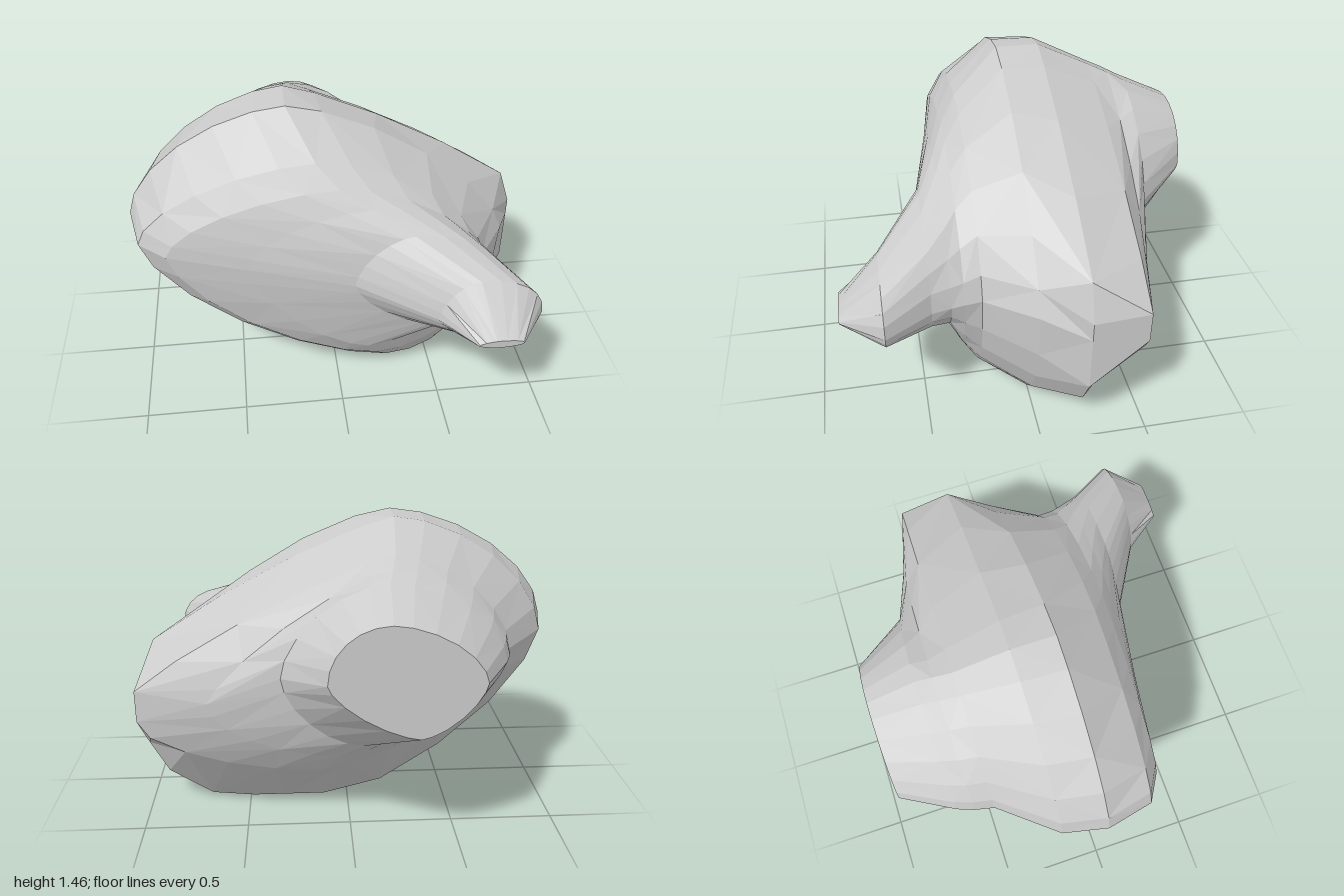
import * as THREE from 'three';

const STEPS = 6; // points per quarter of a cross-section
const SIDES = STEPS * 4;

// Cross-section at depth z through its four extreme points, joined by quarter superellipses.
// upper and lower set how full the right-hand quarters are: small is boxy, 2 is straight.
// The right side is cut flat at x = 1 and the base at y = 0.
function section(z, left, top, right, bottom, upper, lower) {
  const ring = [];
  const quarter = (from, to, cx, cy, power) => {
    for (let i = 0; i < STEPS; i++) {
      const a = (i / STEPS) * Math.PI / 2;
      const u = Math.cos(a) ** power, v = Math.sin(a) ** power;
      ring.push(new THREE.Vector3(
        Math.min(1, cx + (from[0] - cx) * u + (to[0] - cx) * v),
        Math.max(0, cy + (from[1] - cy) * u + (to[1] - cy) * v), z));
    }
  };
  quarter(right, top, top[0], right[1], upper);
  quarter(top, left, top[0], left[1], 1.2);
  quarter(left, bottom, bottom[0], left[1], 1.35);
  quarter(bottom, right, bottom[0], right[1], lower);
  return ring;
}

// Joins the rings from back to front and closes both ends.
function loft(rings) {
  const points = [];
  const middle = (ring) => ring.reduce((sum, p) => sum.add(p), new THREE.Vector3()).divideScalar(SIDES);
  const back = rings[0], front = rings[rings.length - 1];
  for (let j = 0; j < SIDES; j++) {
    const k = (j + 1) % SIDES;
    for (let i = 0; i < rings.length - 1; i++) {
      const a = rings[i], b = rings[i + 1];
      // alternate the diagonal for irregular facets
      if ((i + j) % 2) points.push(a[j], a[k], b[j], a[k], b[k], b[j]);
      else points.push(a[j], a[k], b[k], a[j], b[k], b[j]);
    }
    points.push(middle(back), back[k], back[j], middle(front), front[j], front[k]);
  }
  const geometry = new THREE.BufferGeometry().setFromPoints(points);
  geometry.computeVertexNormals();
  return geometry;
}

export function createModel() {
  const rings = [
    // flat back face and shoulder
    section(-0.88, [-0.555, 0.89], [-0.15, 1.15], [0.12, 0.89], [-0.28, 0.635], 1, 1.4),
    section(-0.64, [-0.69, 0.89], [-0.16, 1.26], [0.32, 0.83], [-0.05, 0.49], 1.2, 1.2),
    section(-0.56, [-0.72, 0.89], [-0.18, 1.3], [0.66, 0.68], [0.05, 0.4], 1.6, 1.1),
    // broad body
    section(-0.47, [-0.74, 0.89], [-0.2, 1.34], [1.08, 0.64], [0.15, 0.28], 1.7, 1.1),
    section(-0.21, [-0.95, 0.89], [-0.22, 1.46], [1.25, 0.6], [0.33, -0.1], 1.65, 1.33),
    section(0, [-1, 0.92], [-0.22, 1.46], [0.9, 0.67], [0.33, -0.1], 1.4, 0.9),
    section(0.23, [-0.95, 0.89], [-0.1, 1.28], [0.74, 0.67], [0.27, 0.03], 1.2, 0.95),
    section(0.31, [-0.82, 0.86], [0, 1.18], [0.75, 0.67], [0.2, 0.13], 1.2, 1.1),
    section(0.37, [-0.44, 0.8], [0.15, 1.1], [0.76, 0.67], [0.15, 0.24], 1.1, 1.3),
    // forward horn
    section(0.46, [0.06, 0.73], [0.335, 1], [0.78, 0.67], [0.45, 0.45], 0.9, 1),
    section(0.67, [0.42, 0.67], [0.6, 0.88], [0.91, 0.67], [0.66, 0.53], 0.9, 1),
    section(0.86, [0.56, 0.67], [0.66, 0.69], [0.77, 0.67], [0.66, 0.65], 1, 1),
  ];

  const material = new THREE.MeshStandardMaterial({ color: 0xcccccc, flatShading: true });
  const rock = new THREE.Mesh(loft(rings), material);
  rock.name = 'rock';
  const model = new THREE.Group();
  model.name = 'boulder';
  model.add(rock);
  return model;
}
